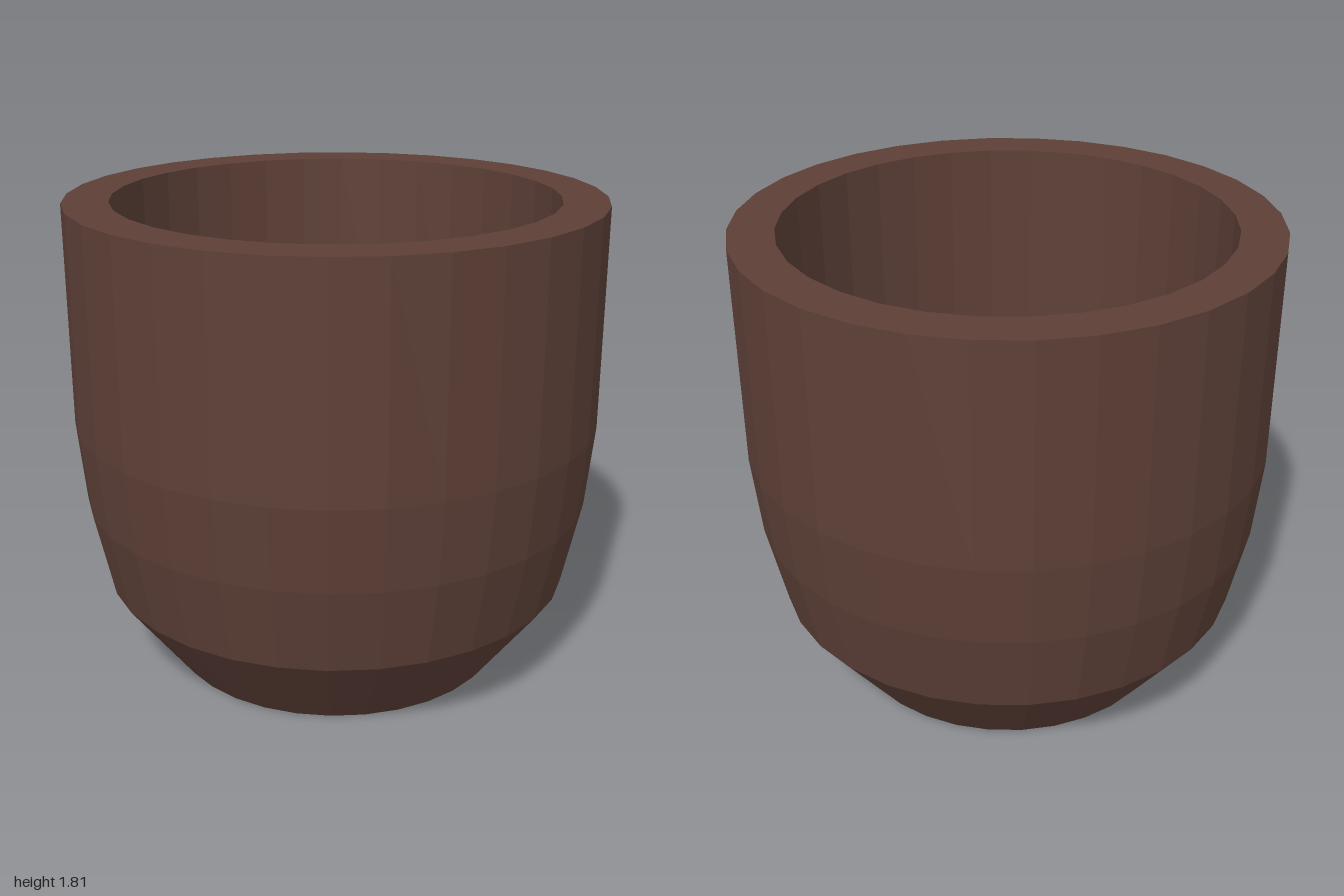
import * as THREE from 'three';

const SIDES = 32;

export function createModel() {
  const group = new THREE.Group();
  group.name = 'cup';
  const brown = new THREE.MeshStandardMaterial({ color: 0x5d4037, flatShading: true });

  // Turns a [radius, height] profile around the y axis
  const turn = (name, profile) => {
    const points = profile.map(([r, y]) => new THREE.Vector2(r, y));
    const mesh = new THREE.Mesh(new THREE.LatheGeometry(points, SIDES), brown);
    mesh.name = name;
    group.add(mesh);
  };

  // Underside and tapered outer wall
  turn('outerWall', [[0, 0], [0.65, 0], [0.9, 0.335], [0.97, 0.665], [1, 0.98], [1, 1.81]]);
  // Flat ring around the opening
  turn('rim', [[1, 1.81], [0.83, 1.81]]);
  // Hollow inside, from the rim down to the floor
  turn('innerWall', [[0.83, 1.81], [0.83, 0.98], [0.81, 0.69], [0.75, 0.41], [0.57, 0.17], [0, 0.17]]);

  return group;
}
